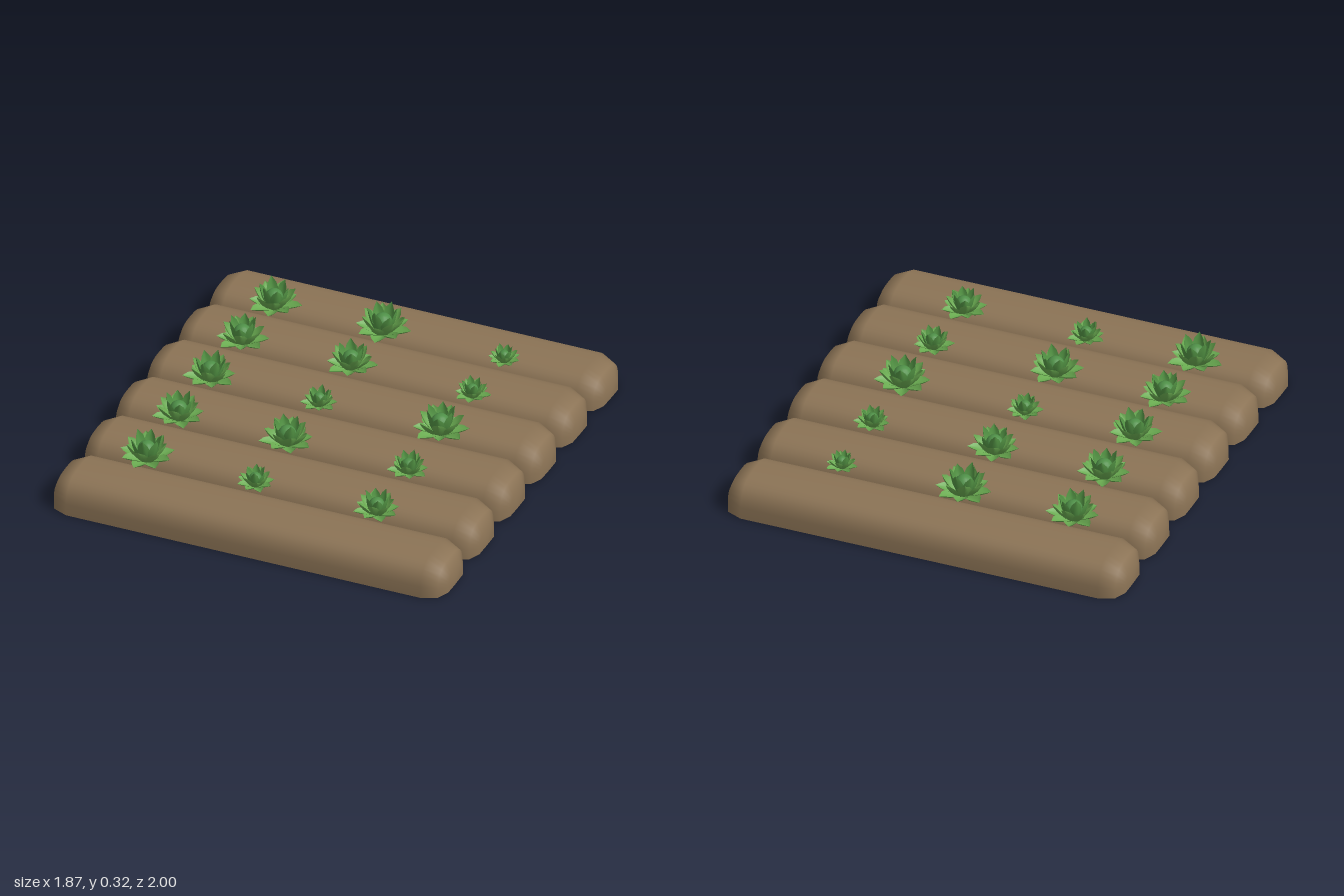
import * as THREE from 'three';
import { mergeGeometries } from 'three/addons/utils/BufferGeometryUtils.js';

const mat = (name, color, side = THREE.DoubleSide) => {
  const m = new THREE.MeshStandardMaterial({ color, side });
  m.name = name;
  return m;
};

// Grid of points (rows x cols) turned into a smooth surface
function gridSurface(rows) {
  const cols = rows[0].length, idx = [];
  for (let i = 0; i < rows.length - 1; i++) {
    for (let j = 0; j < cols - 1; j++) {
      const a = i * cols + j, b = a + 1, c = a + cols, d = c + 1;
      idx.push(a, b, c, b, d, c);
    }
  }
  const g = new THREE.BufferGeometry();
  g.setAttribute('position', new THREE.Float32BufferAttribute(rows.flat(2), 3));
  g.setIndex(idx);
  g.computeVertexNormals();
  return g;
}

// Hollow half-round log: squarish arch sections that shrink at both ends
function logGeometry(height) {
  const N = 16, halfWidth = 0.165;
  const ends = [[0.936, 0.01], [0.935, 0.48], [0.91, 0.82], [0.84, 1]];
  const sections = [
    ...ends.map(([x, s]) => [-x, s]),
    ...ends.slice().reverse()
  ];
  return gridSurface(sections.map(([x, s]) => {
    const row = [];
    for (let j = 0; j <= N; j++) {
      const a = (j / N) * Math.PI, c = Math.cos(a), e = 2 / 3;
      const z = Math.sign(c) * Math.abs(c) ** e * halfWidth * s;
      const y = Math.max(0, Math.sin(a)) ** e * height * (s < 1 ? s * 0.95 + 0.05 * s * s : 1);
      row.push([x, y, z]);
    }
    return row;
  }));
}

// One cupped petal growing outwards along +x
function petalGeometry(tipOut, tipUp, width, bend) {
  const rows = [];
  for (const [t, w] of [[0, 0.3], [0.3, 0.75], [0.6, 1], [0.82, 0.7], [1, 0.02]]) {
    const out = 0.012 + (tipOut - 0.012) * (t + bend * t * (1 - t));
    const up = tipUp * (t - bend * t * (1 - t));
    rows.push([-1, -0.5, 0, 0.5, 1].map(s => [
      out - 0.012 * s * s * w, up + 0.014 * s * s * w, s * w * width / 2
    ]));
  }
  return gridSurface(rows);
}

// Ring of petals with slight variation in size
function petalRing(count, offset, tipOut, tipUp, width, bend) {
  const petals = [];
  for (let i = 0; i < count; i++) {
    const k = 1 + 0.07 * Math.sin(i * 2.4 + offset * 5);
    const p = petalGeometry(tipOut * k, tipUp * (2 - k), width, bend);
    p.rotateY(offset + (i / count) * Math.PI * 2);
    petals.push(p);
  }
  return mergeGeometries(petals);
}

export function createModel() {
  const model = new THREE.Group();
  model.name = 'plantedLogs';
  const earth = mat('earthBrown', 0x8b7355);
  const leaf = mat('leafGreen', 0x69aa50);
  const innerLeaf = mat('innerLeafGreen', 0x549645);
  const bud = mat('budGreen', 0x4f9048, THREE.FrontSide);

  // Six logs laid side by side in a gentle arch
  for (let i = 0; i < 6; i++) {
    const z = (i - 2.5) / 3, d = Math.round(Math.abs(z) * 3 - 0.5);
    const log = new THREE.Mesh(logGeometry([0.179, 0.174, 0.163][d]), earth);
    log.name = 'log' + (i + 1);
    log.position.set(0, [0.013, 0.009, 0.004][d], z);
    log.rotation.x = 0.025 * z;
    model.add(log);
  }

  // Rosette parts, shared by every plant
  const rings = [
    ['outerPetals', petalRing(8, 0.2, 0.118, 0.035, 0.066, 0.15), leaf],
    ['middlePetals', petalRing(7, 0.6, 0.094, 0.092, 0.062, 0.4), leaf],
    ['innerPetals', petalRing(6, 0.1, 0.064, 0.125, 0.056, 0.6), innerLeaf]
  ];
  const budGeometry = new THREE.SphereGeometry(0.04, 14, 10);

  // Rosettes in the grooves: size per row, for x = -0.59, -0.08, 0.5
  const sizes = [
    [1, 1.05, 0.6],
    [0.98, 0.95, 0.68],
    [0.98, 0.68, 1.05],
    [0.97, 1, 0.76],
    [1.02, 0.7, 0.86]
  ];
  sizes.forEach((row, r) => row.forEach((size, c) => {
    const plant = new THREE.Group();
    plant.name = 'rosette' + (r * 3 + c + 1);
    for (const [name, geometry, material] of rings) {
      const ring = new THREE.Mesh(geometry, material);
      ring.name = name;
      plant.add(ring);
    }
    const core = new THREE.Mesh(budGeometry, bud);
    core.name = 'bud';
    core.position.y = 0.06;
    plant.add(core);
    plant.position.set([-0.595, -0.08, 0.495][c], [0.18, 0.175, 0.16][Math.abs(r - 2)], (r - 2) * 0.342);
    plant.rotation.y = r * 1.7 + c * 2.3;
    plant.scale.setScalar(size);
    model.add(plant);
  }));
  return model;
}
